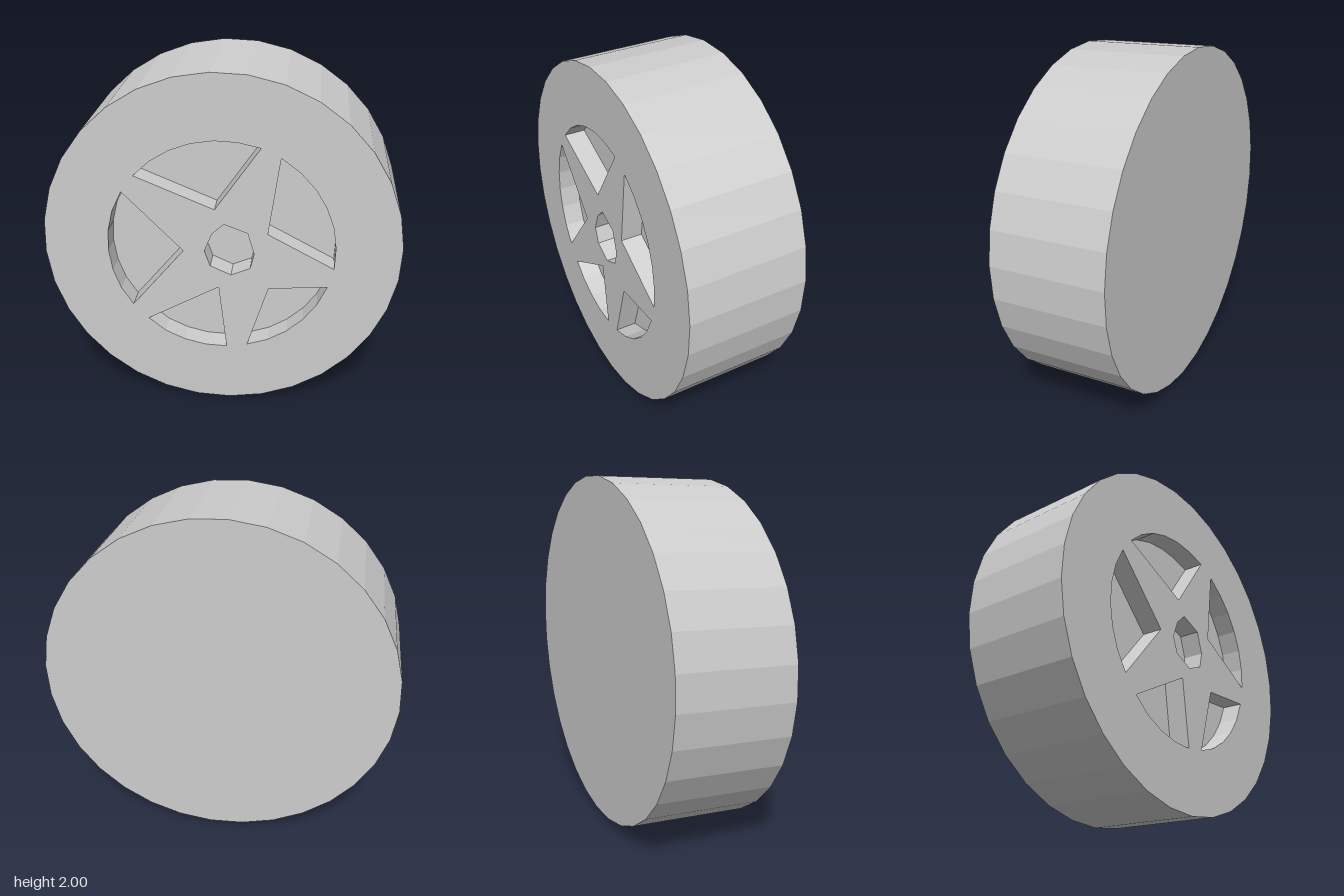
import * as THREE from 'three';

const FRONT = 0.335, BACK = -0.335, FLOOR = 0.215;
const CX = -0.008, CY = 0.986;
const STEP = Math.PI / 16, PHASE = THREE.MathUtils.degToRad(3);

const v = (x, y) => new THREE.Vector2(x, y);
const onCircle = (r, a) => v(CX + r * Math.cos(a), CY + r * Math.sin(a));

// The axle leans slightly: slide every section up and sideways towards the back
function lean(geometry) {
  const p = geometry.attributes.position;
  for (let i = 0; i < p.count; i++) {
    const x = p.getX(i), y = p.getY(i), z = p.getZ(i);
    p.setXYZ(i, x + 0.016 * (FRONT - z), y + 0.0485 * (FRONT - z), z + 0.006 * (y - CY));
  }
  geometry.computeVertexNormals();
  return geometry;
}

// Band of flat quads along a closed loop; a counter-clockwise loop faces outward
function wall(loop, z0, z1) {
  const pos = [];
  loop.forEach((a, i) => {
    const b = loop[(i + 1) % loop.length];
    pos.push(a.x, a.y, z0, b.x, b.y, z0, b.x, b.y, z1);
    pos.push(a.x, a.y, z0, b.x, b.y, z1, a.x, a.y, z1);
  });
  const g = new THREE.BufferGeometry();
  g.setAttribute('position', new THREE.Float32BufferAttribute(pos, 3));
  return lean(g);
}

// Flat face filling a loop, with optional holes
function face(loop, z, holes = []) {
  const shape = new THREE.Shape(loop);
  shape.holes = holes.map((h) => new THREE.Path(h));
  return lean(new THREE.ShapeGeometry(shape).translate(0, 0, z));
}

// Pocket between two spokes: rim arc from start to end, closed by the inner notch
function pocket([sx, sy, ex, ey, nx, ny]) {
  const a0 = Math.atan2(sy - CY, sx - CX);
  let a1 = Math.atan2(ey - CY, ex - CX);
  if (a1 < a0) a1 += Math.PI * 2;
  const loop = [v(sx, sy)];
  for (let k = Math.ceil((a0 - PHASE) / STEP); k * STEP + PHASE < a1; k++) {
    const a = k * STEP + PHASE;
    if (a - a0 > 0.03 && a1 - a > 0.03) loop.push(onCircle(0.628, a));
  }
  loop.push(v(ex, ey), v(nx, ny));
  return loop;
}

export function createModel() {
  const model = new THREE.Group();
  model.name = 'wheel';
  const grey = new THREE.MeshStandardMaterial({ color: 0xcccccc });
  grey.name = 'light grey';
  const add = (name, geometry, parent = model) => {
    const mesh = new THREE.Mesh(geometry, grey);
    mesh.name = name;
    parent.add(mesh);
  };

  // Recess outlines: start, end and notch of each pocket
  const recesses = [
    [0.205, 1.58, -0.475, 1.405, -0.04, 1.225],
    [0.615, 0.895, 0.31, 1.53, 0.25, 1.09],
    [0.145, 0.38, 0.585, 0.78, 0.26, 0.755],
    [-0.425, 0.525, 0.025, 0.36, -0.02, 0.75],
    [-0.545, 1.31, -0.51, 0.615, -0.215, 0.97],
  ].map(pocket);

  // Irregular hub hole
  const hub = [
    [0.01, 1.14], [-0.055, 1.08], [-0.098, 0.974], [-0.066, 0.884],
    [0.05, 0.832], [0.156, 0.878], [0.177, 0.968], [0.14, 1.092],
  ].map(([x, y]) => v(x, y));

  // Tyre
  const rim = Array.from({ length: 32 }, (_, i) => onCircle(0.986, PHASE + i * STEP));
  add('tread', wall(rim, BACK, FRONT));
  add('starFace', face(rim, FRONT, [...recesses, hub]));
  const back = face(rim, BACK);
  const idx = back.index.array;
  for (let i = 0; i < idx.length; i += 3) [idx[i], idx[i + 1]] = [idx[i + 1], idx[i]];
  back.computeVertexNormals();
  add('backFace', back);

  // Sunken pockets and hub hole
  [...recesses, hub].forEach((loop, i) => {
    const group = new THREE.Group();
    group.name = i < recesses.length ? `spokePocket${i + 1}` : 'hubHole';
    add('pocketWall', wall([...loop].reverse(), FLOOR, FRONT), group);
    add('pocketFloor', face(loop, FLOOR), group);
    model.add(group);
  });
  return model;
}
